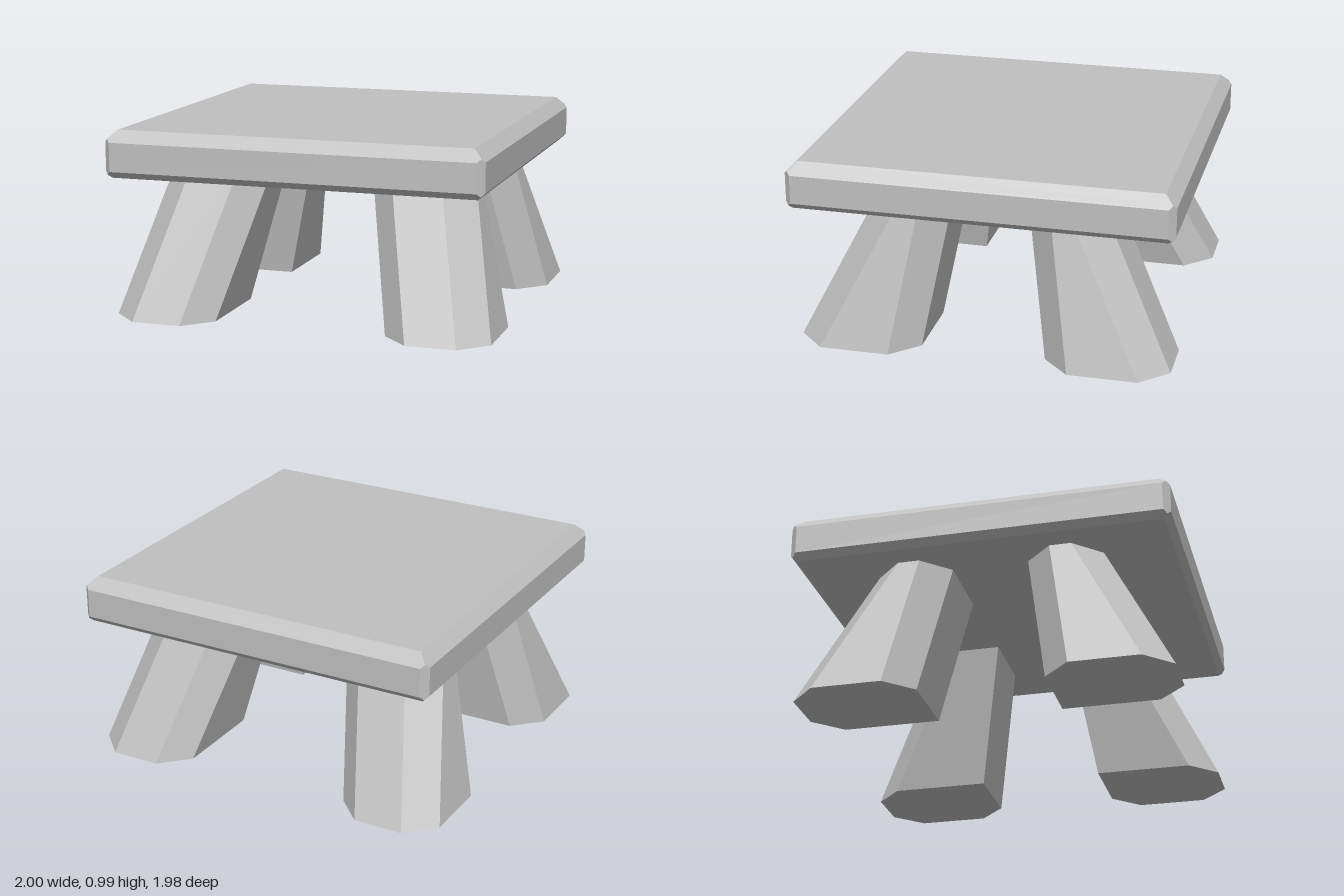
import * as THREE from 'three';
import { ConvexGeometry } from 'three/addons/geometries/ConvexGeometry.js';

const SIGNS = [[1, 1], [-1, 1], [-1, -1], [1, -1]];

// Leg outline at one height: a rectangle with three bevelled corners and a sharp inner one
function legSection(y, x0, x1, z0, z1, bevel) {
  return [
    [x0, z0], [x1 - bevel, z0], [x1, z0 + bevel], [x1, z1 - bevel],
    [x1 - bevel, z1], [x0 + bevel, z1], [x0, z1 - bevel],
  ].map(([x, z]) => [x, y, z]);
}

function hull(points, material, name) {
  const geometry = new ConvexGeometry(points.map((p) => new THREE.Vector3(...p)));
  const mesh = new THREE.Mesh(geometry, material);
  mesh.name = name;
  return mesh;
}

export function createModel() {
  const model = new THREE.Group();
  model.name = 'table';
  const stone = new THREE.MeshStandardMaterial({ color: 0xc0c0c0 });
  stone.name = 'stone grey';

  // Square slab: bevelled top, bottom and upright corners
  const corner = [
    [0.93, 0.99, 0.93], [0.9725, 0.9475, 0.9725],
    [0.955, 0.93, 0.99], [0.99, 0.93, 0.955],
    [0.955, 0.78, 0.99], [0.99, 0.78, 0.955],
    [0.9725, 0.7625, 0.9725], [0.955, 0.745, 0.955],
  ];
  const slab = SIGNS.flatMap(([sx, sz]) => corner.map(([x, y, z]) => [x * sx, y, z * sz]));
  model.add(hull(slab, stone, 'tableTop'));

  // Four splayed legs, mirrored to each corner
  const leg = [
    ...legSection(0, 0.455, 1, 0.325, 0.97, 0.142),
    ...legSection(0.746, 0.275, 0.82, 0.2, 0.597, 0.142),
  ];
  for (const [sx, sz] of SIGNS) {
    const name = (sz > 0 ? 'front' : 'back') + (sx > 0 ? 'Left' : 'Right') + 'Leg';
    model.add(hull(leg.map(([x, y, z]) => [x * sx, y, z * sz]), stone, name));
  }
  return model;
}
